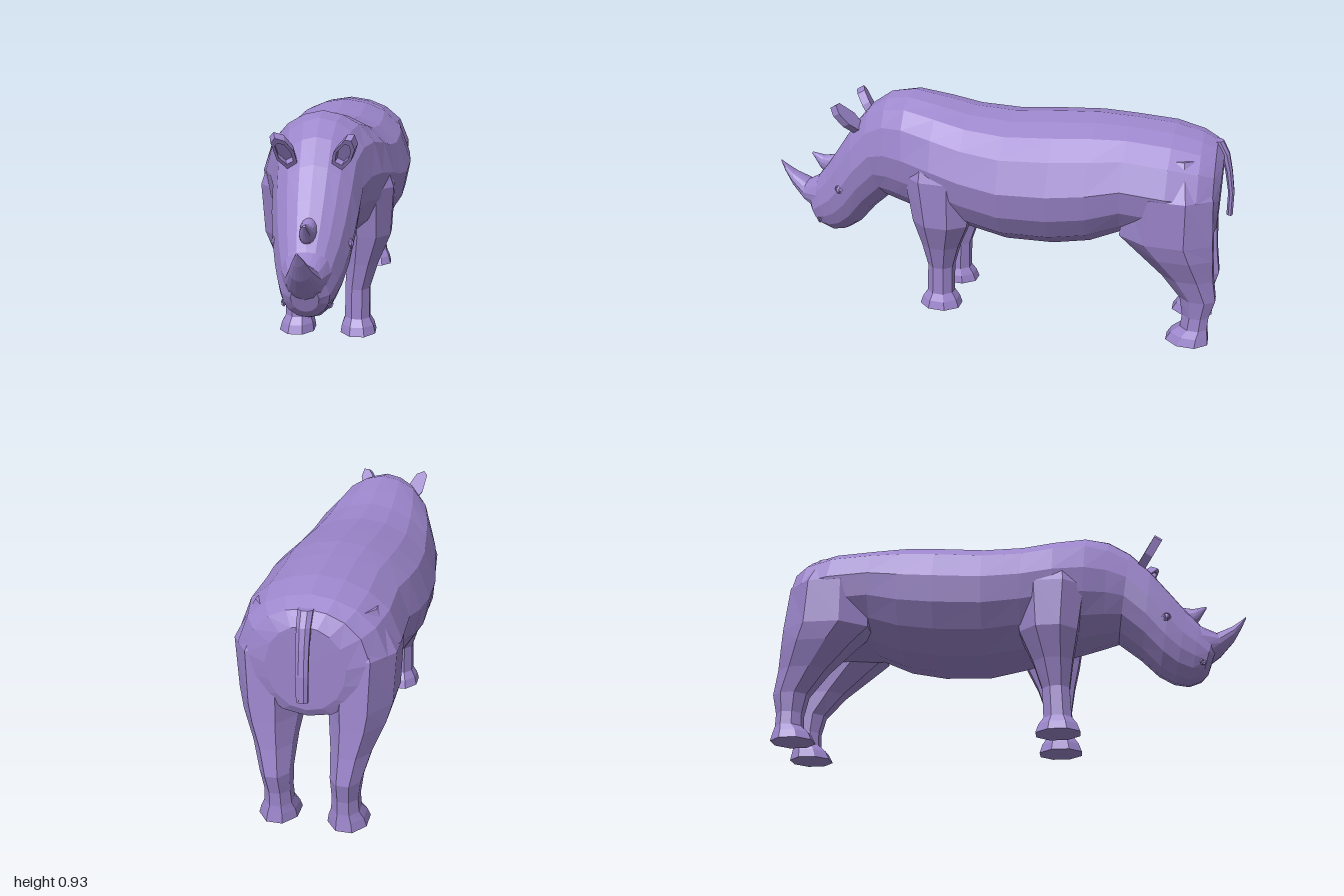
import * as THREE from 'three';

const skinMat = new THREE.MeshStandardMaterial({ color: 0x9c86cc, flatShading: true });
skinMat.name = 'lilac hide';

// Closed faceted skin over rings; each ring runs clockwise seen from the direction of travel
function skin(rings) {
  const n = rings[0].length, pos = [], idx = [];
  rings.forEach(r => r.forEach(p => pos.push(...p)));
  for (let i = 0; i < rings.length - 1; i++) {
    for (let j = 0; j < n; j++) {
      const a = i * n + j, b = i * n + (j + 1) % n;
      idx.push(a, a + n, b + n, a, b + n, b);
    }
  }
  [0, rings.length - 1].forEach((i, end) => {
    const c = pos.length / 3;
    pos.push(...[0, 1, 2].map(k => rings[i].reduce((s, p) => s + p[k], 0) / n));
    for (let j = 0; j < n; j++) {
      const a = i * n + j, b = i * n + (j + 1) % n;
      idx.push(c, end ? b : a, end ? a : b);
    }
  });
  const g = new THREE.BufferGeometry();
  g.setAttribute('position', new THREE.Float32BufferAttribute(pos, 3));
  g.setIndex(idx);
  const flat = g.toNonIndexed();
  flat.computeVertexNormals();
  return flat;
}

// Half profile of a trunk section: height fraction, width fraction
const half = [[1, 0], [0.97, 0.32], [0.9, 0.6], [0.77, 0.85], [0.54, 1], [0.34, 0.93], [0.17, 0.74], [0.04, 0.4], [0, 0]];
const loop = [...half, ...half.slice(1, -1).reverse().map(([t, w]) => [t, -w])];

// Sections: top z, top y, bottom z, bottom y, half width
const loft = sections => skin(sections.map(([zt, yt, zb, yb, hw]) =>
  loop.map(([t, w]) => [w * hw, yb + (yt - yb) * t, zb + (zt - zb) * t])));

// Stacked octagons: y, centre x, centre z, half width x, half depth z
const stack = levels => skin(levels.map(([y, x, z, rx, rz]) =>
  Array.from({ length: 8 }, (_, k) => {
    const a = (k + 0.5) * Math.PI / 4, s = 1 / Math.cos(Math.PI / 8);
    return [x + Math.cos(a) * rx * s, y, z + Math.sin(a) * rz * s];
  })));

export function createModel() {
  const model = new THREE.Group();
  const add = (name, geometry, parent = model) => {
    const m = new THREE.Mesh(geometry, skinMat);
    m.name = name;
    parent.add(m);
    return m;
  };

  // Trunk, neck and head in one skin
  add('bodyAndHead', loft([
    [-0.945, 0.78, -0.945, 0.47, 0.14],
    [-0.915, 0.83, -0.93, 0.44, 0.215],
    [-0.86, 0.858, -0.87, 0.43, 0.26],
    [-0.75, 0.885, -0.75, 0.42, 0.288],
    [-0.58, 0.897, -0.58, 0.43, 0.285],
    [-0.45, 0.902, -0.45, 0.37, 0.305],
    [-0.3, 0.893, -0.3, 0.34, 0.315],
    [-0.1, 0.877, -0.1, 0.333, 0.308],
    [0.07, 0.885, 0.05, 0.36, 0.285],
    [0.2, 0.91, 0.18, 0.39, 0.265],
    [0.34, 0.932, 0.3, 0.41, 0.23],
    [0.44, 0.915, 0.39, 0.43, 0.195],
    [0.53, 0.855, 0.46, 0.45, 0.17],
    [0.61, 0.765, 0.55, 0.37, 0.16],
    [0.69, 0.655, 0.62, 0.29, 0.143],
    [0.75, 0.57, 0.68, 0.25, 0.125],
    [0.8, 0.51, 0.74, 0.237, 0.106],
    [0.845, 0.43, 0.79, 0.255, 0.085],
    [0.86, 0.39, 0.82, 0.285, 0.05],
  ]));

  // Horns
  add('frontHorn', loft([
    [0.77, 0.515, 0.82, 0.32, 0.09],
    [0.865, 0.465, 0.88, 0.365, 0.062],
    [0.935, 0.495, 0.94, 0.43, 0.038],
    [0.975, 0.522, 0.977, 0.49, 0.02],
    [1, 0.542, 1, 0.535, 0.004],
  ]));
  add('rearHorn', loft([
    [0.72, 0.6, 0.76, 0.49, 0.034],
    [0.78, 0.588, 0.802, 0.53, 0.026],
    [0.838, 0.598, 0.84, 0.59, 0.006],
  ]));

  // Tail
  add('tail', stack([
    [0.525, 0, -0.988, 0.02, 0.012],
    [0.62, 0, -0.985, 0.022, 0.012],
    [0.71, 0, -0.967, 0.022, 0.014],
    [0.78, 0, -0.945, 0.024, 0.018],
    [0.83, 0, -0.915, 0.026, 0.02],
  ]));

  // Ear outline and hollow
  const leaf = s => [[-0.02, 0], [0.02, 0], [0.036, 0.06], [0.03, 0.12], [0.006, 0.15], [-0.016, 0.14], [-0.034, 0.06]]
    .map(([x, y]) => new THREE.Vector2(x * s, 0.075 + (y - 0.075) * s));
  const rim = new THREE.Shape(leaf(1));
  rim.holes.push(new THREE.Path(leaf(0.68)));
  const rimGeo = new THREE.ExtrudeGeometry(rim, { depth: 0.025, bevelEnabled: false });
  const backGeo = new THREE.ExtrudeGeometry(new THREE.Shape(leaf(1)), { depth: 0.012, bevelEnabled: false });
  backGeo.translate(0, 0, -0.012);

  for (const s of [1, -1]) {
    const side = s > 0 ? 'left' : 'right';

    add(side + 'FrontLeg', stack([
      [0, 0.128, 0.197, 0.072, 0.088],
      [0.035, 0.126, 0.197, 0.065, 0.076],
      [0.065, 0.124, 0.197, 0.051, 0.056],
      [0.19, 0.124, 0.193, 0.05, 0.055],
      [0.3, 0.143, 0.184, 0.065, 0.08],
      [0.42, 0.165, 0.17, 0.092, 0.118],
      [0.62, 0.16, 0.175, 0.108, 0.145],
      [0.76, 0.13, 0.19, 0.09, 0.1],
    ].map(([y, x, ...r]) => [y, s * x, ...r])));

    add(side + 'HindLeg', stack([
      [0, 0.128, -0.875, 0.072, 0.085],
      [0.035, 0.126, -0.882, 0.064, 0.073],
      [0.065, 0.124, -0.897, 0.051, 0.054],
      [0.12, 0.124, -0.9, 0.048, 0.053],
      [0.2, 0.128, -0.902, 0.055, 0.07],
      [0.3, 0.14, -0.855, 0.072, 0.1],
      [0.4, 0.155, -0.8, 0.1, 0.145],
      [0.47, 0.16, -0.76, 0.115, 0.18],
      [0.66, 0.165, -0.76, 0.12, 0.165],
      [0.8, 0.13, -0.76, 0.08, 0.11],
    ].map(([y, x, ...r]) => [y, s * x, ...r])));

    // Ear leaning forward and outward
    const ear = new THREE.Group();
    ear.name = side + 'Ear';
    const up = new THREE.Vector3(s * 0.055, 0.11, 0.08).normalize();
    const face = new THREE.Vector3(0, 0, 1).addScaledVector(up, -up.z).normalize();
    const across = new THREE.Vector3().crossVectors(up, face);
    ear.quaternion.setFromRotationMatrix(new THREE.Matrix4().makeBasis(across, up, face));
    ear.position.set(s * 0.085, 0.763, 0.562);
    add('earRim', rimGeo, ear);
    add('earBack', backGeo, ear);
    model.add(ear);

    // Eye with lid ring
    const eye = new THREE.Group();
    eye.name = side + 'Eye';
    eye.position.set(s * 0.138, 0.49, 0.655);
    eye.rotation.y = s * 1.25;
    add('eyeball', new THREE.SphereGeometry(0.014, 8, 6), eye);
    add('eyelid', new THREE.TorusGeometry(0.016, 0.006, 4, 8), eye);
    model.add(eye);

    // Nostril
    const nostril = add(side + 'Nostril', new THREE.TorusGeometry(0.011, 0.004, 4, 6));
    nostril.position.set(s * 0.083, 0.305, 0.79);
    nostril.rotation.y = s * 0.95;
  }
  return model;
}
